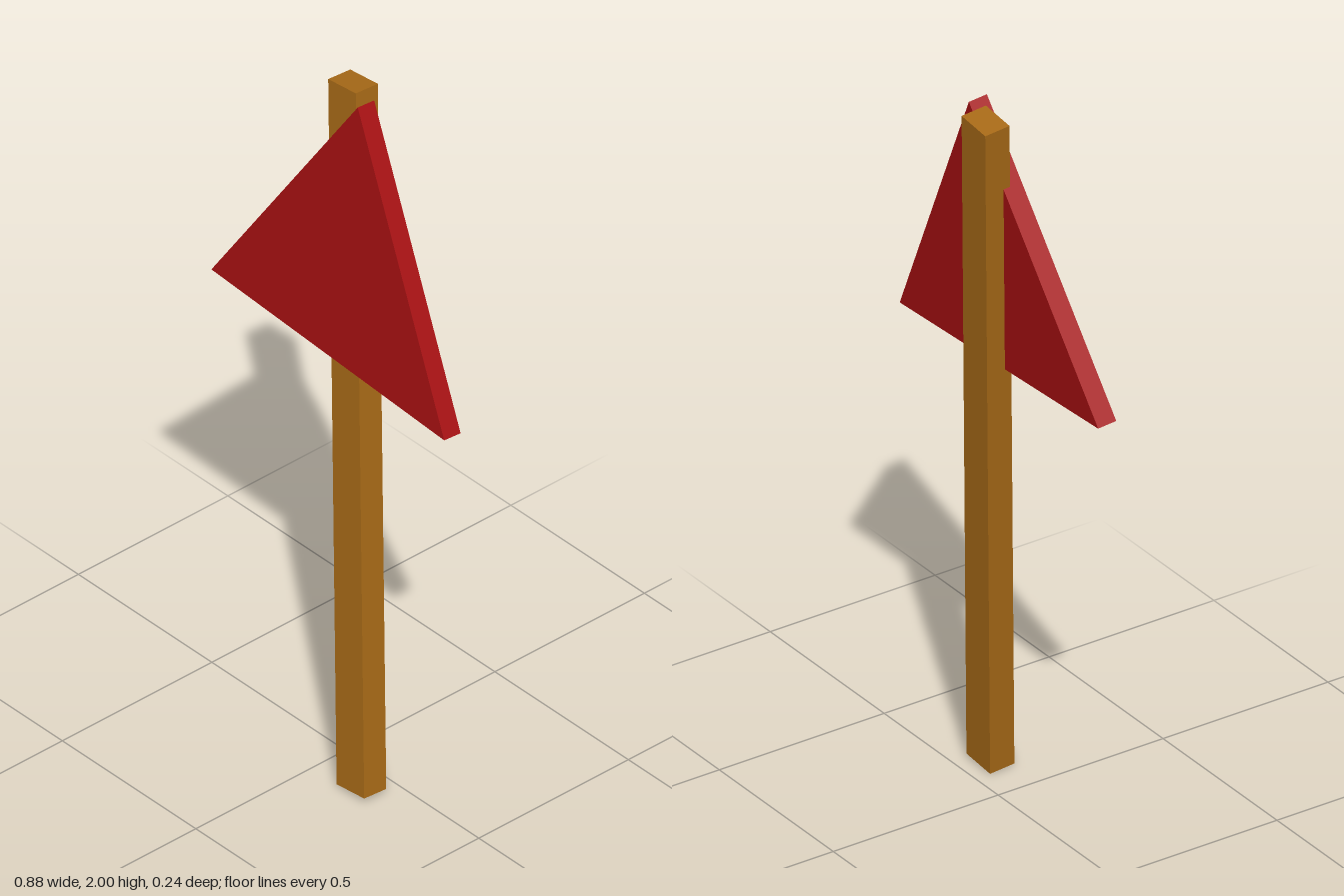
import * as THREE from 'three';

export function createModel() {
  const model = new THREE.Group();
  model.name = 'warningSign';
  const lean = -0.081; // both parts lean back by the same angle

  const part = (name, geometry, color, position, roll) => {
    const mesh = new THREE.Mesh(geometry, new THREE.MeshStandardMaterial({ color, flatShading: true }));
    mesh.name = name;
    mesh.position.set(...position);
    mesh.rotation.set(lean, 0, roll);
    model.add(mesh);
  };

  // Crooked wooden post
  part('post', new THREE.BoxGeometry(0.103, 2.0, 0.074), 0xa86a17, [0.0445, 1.0, 0], 0.106);

  // Equilateral plate, sunk slightly into the post
  const radius = 0.507, thickness = 0.055;
  const corners = [0, 1, 2].map((i) => {
    const a = Math.PI / 2 + (i * Math.PI * 2) / 3;
    return new THREE.Vector2(Math.cos(a) * radius, Math.sin(a) * radius);
  });
  const plate = new THREE.ExtrudeGeometry(new THREE.Shape(corners), { depth: thickness, bevelEnabled: false });
  plate.translate(0, 0, -thickness / 2);
  part('signPlate', plate, 0xa81012, [0.008, 1.492, 0.005], -0.057);

  return model;
}
